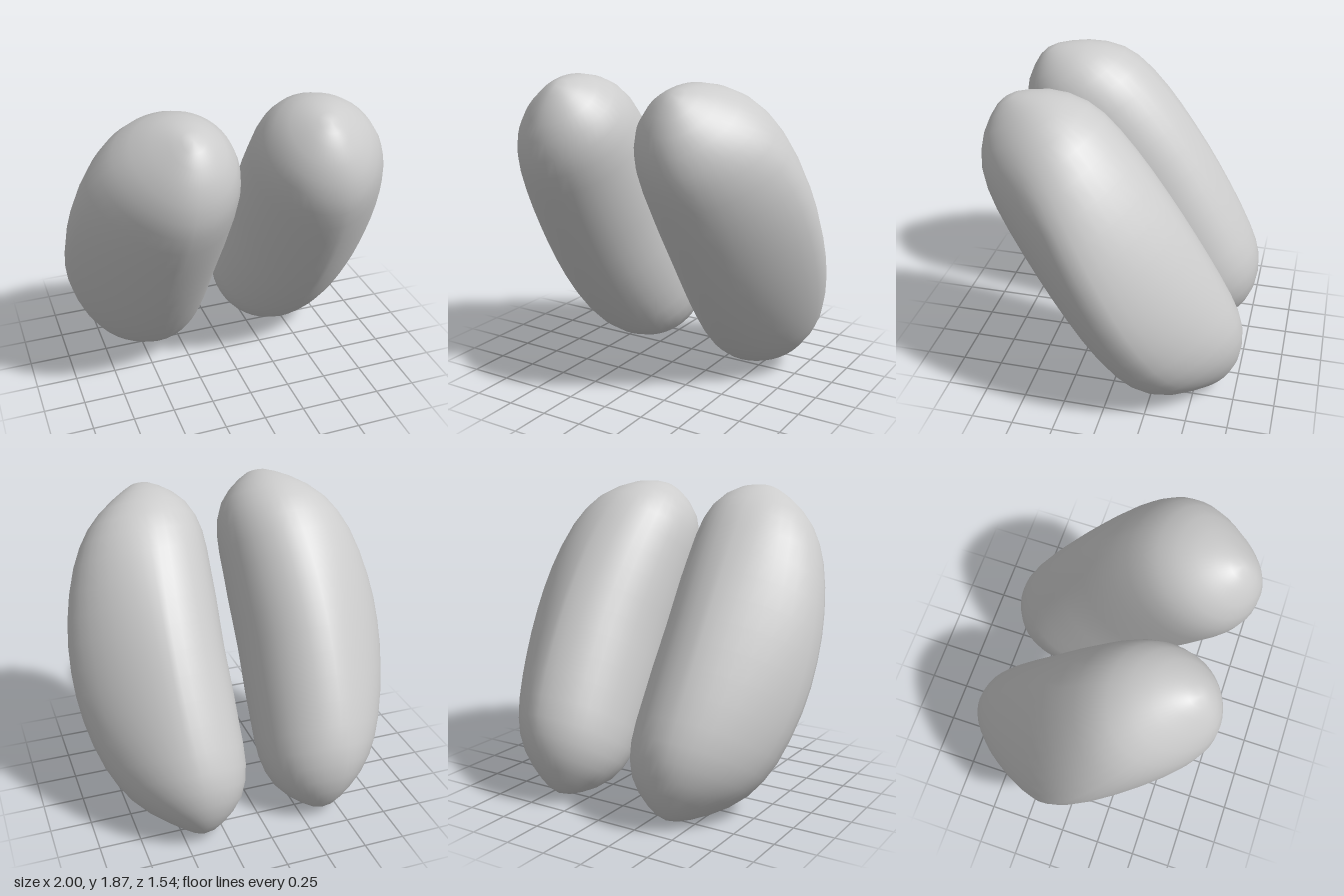
import * as THREE from 'three';

// Half profile of a lobe from middle to tip:
// [distance along axis, inner x, outer x, half thickness]
const HALF = [
  [0, 0.067, 1.0, 0.473],
  [0.15, 0.064, 0.994, 0.47],
  [0.3, 0.06, 0.974, 0.463],
  [0.45, 0.06, 0.94, 0.451],
  [0.6, 0.058, 0.89, 0.431],
  [0.72, 0.064, 0.832, 0.405],
  [0.82, 0.085, 0.765, 0.366],
  [0.91, 0.125, 0.68, 0.305],
  [0.985, 0.19, 0.585, 0.23],
  [1.04, 0.26, 0.505, 0.145],
  [1.075, 0.32, 0.445, 0.07],
];
const TIP = 1.09, TIP_X = 0.385, SEGMENTS = 40;
const TILT = THREE.MathUtils.degToRad(33);

// Tilted frame: t runs along the lobe, n across its thickness
function place(x, n, t, side) {
  const c = Math.cos(TILT), s = Math.sin(TILT);
  const bend = -0.04 * (t / TIP) ** 3;
  return [side * x, 0.94 + c * t + s * (n + bend), s * t - c * (n + bend)];
}

// Round inner wall; the outer flank is narrower and its crest runs a little steeper than the axis
function sectionPoint([t, inner, outer, half], angle, side) {
  const s = Math.sin(angle), a = Math.min(1, Math.abs(s));
  const k = (t / TIP) ** 2;
  const centre = THREE.MathUtils.lerp(0.47, TIP_X, k);
  let x, n = half * s;
  if (Math.cos(angle) > 0) {
    const p = THREE.MathUtils.lerp(1.5, 2.2, k);
    x = centre + (outer - centre) * (1 - a ** p) ** (1 / p);
    n += 0.12 * t * (half / HALF[0][3]) ** 2 * (1 - a * a);
  } else {
    x = centre - (centre - inner) * Math.sqrt(1 - a * a);
  }
  return place(x, n, t, side);
}

function lobeGeometry(side) {
  const rings = [
    ...HALF.slice(1).reverse().map(([t, ...rest]) => [-t, ...rest]),
    ...HALF,
  ];
  const positions = [], index = [];
  const face = (a, b, c) => (side > 0 ? index.push(a, b, c) : index.push(a, c, b));
  for (const ring of rings) {
    for (let j = 0; j < SEGMENTS; j++) {
      positions.push(...sectionPoint(ring, (j / SEGMENTS) * Math.PI * 2, side));
    }
  }
  const bottom = rings.length * SEGMENTS, top = bottom + 1;
  positions.push(...place(TIP_X, 0, -TIP, side), ...place(TIP_X, 0, TIP, side));
  const last = (rings.length - 1) * SEGMENTS;
  for (let j = 0; j < SEGMENTS; j++) {
    const next = (j + 1) % SEGMENTS;
    for (let i = 0; i < rings.length - 1; i++) {
      const a = i * SEGMENTS + j, b = i * SEGMENTS + next;
      face(a, b, a + SEGMENTS);
      face(b, b + SEGMENTS, a + SEGMENTS);
    }
    // Closed tips
    face(bottom, next, j);
    face(top, last + j, last + next);
  }
  const geometry = new THREE.BufferGeometry();
  geometry.setAttribute('position', new THREE.Float32BufferAttribute(positions, 3));
  geometry.setIndex(index);
  geometry.computeVertexNormals();
  return geometry;
}

export function createModel() {
  const group = new THREE.Group();
  group.name = 'lobePair';
  const grey = new THREE.MeshStandardMaterial({ color: 0xcccccc });
  grey.name = 'light grey';
  for (const [name, side] of [['leftLobe', 1], ['rightLobe', -1]]) {
    const lobe = new THREE.Mesh(lobeGeometry(side), grey);
    lobe.name = name;
    group.add(lobe);
  }
  return group;
}
